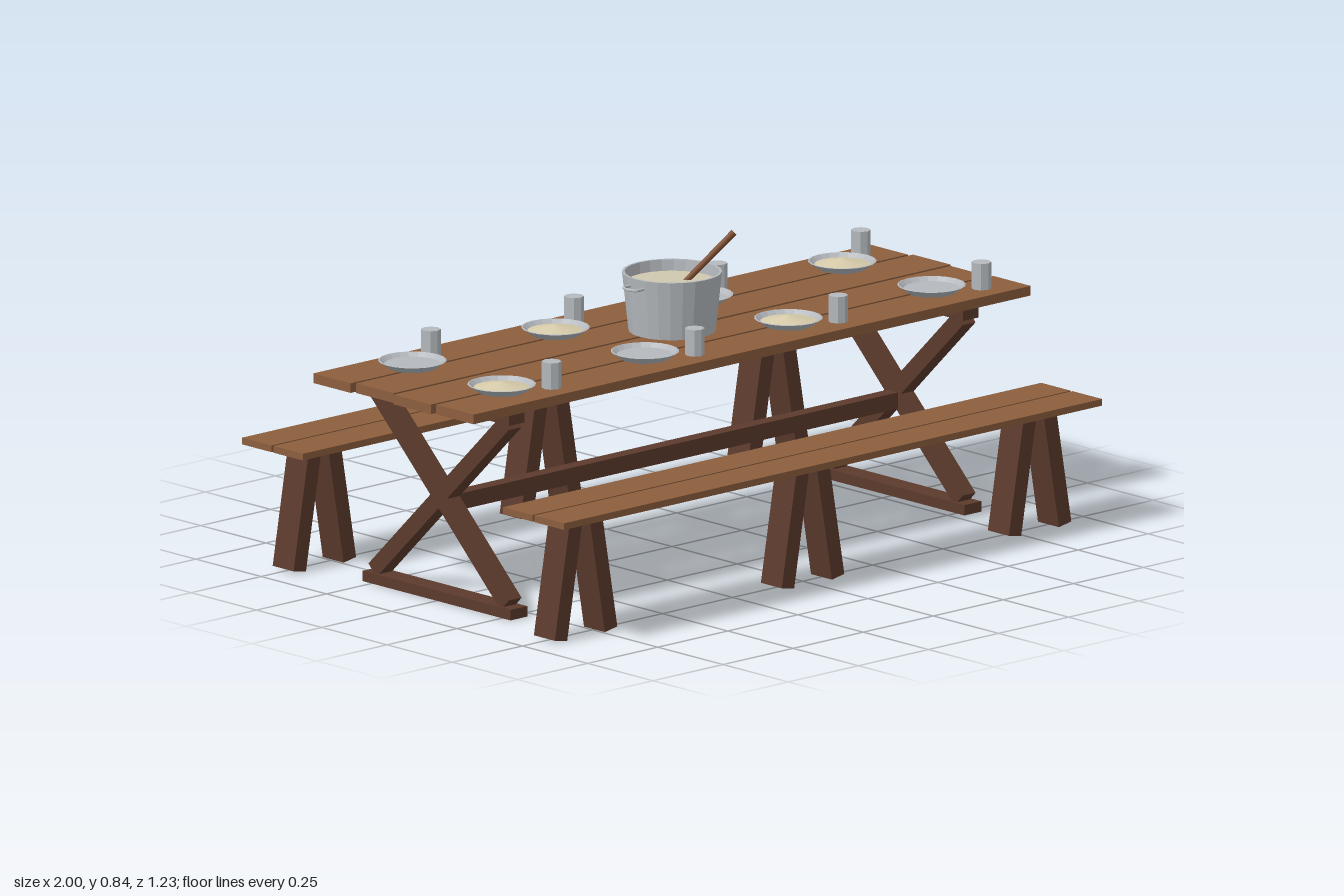
import * as THREE from 'three';

const mat = (name, color, extra = {}) => {
  const m = new THREE.MeshStandardMaterial({ color, ...extra });
  m.name = name;
  return m;
};

export function createModel() {
  const plankWood = mat('plank wood', 0x8b5e3e);
  const legWood = mat('dark leg wood', 0x5c3a2c);
  const spoonWood = mat('spoon wood', 0x7c4b2c);
  const metal = mat('grey metal', 0xb5b9bd, { flatShading: true });
  const stewColor = mat('stew', 0xcfc8b0);
  const foodColor = mat('food', 0xd6cbaa);

  const model = new THREE.Group();
  model.name = 'picnicTable';

  const add = (parent, name, geometry, material, x = 0, y = 0, z = 0) => {
    const mesh = new THREE.Mesh(geometry, material);
    mesh.name = name;
    mesh.position.set(x, y, z);
    parent.add(mesh);
    return mesh;
  };
  const group = (name, x = 0, y = 0, z = 0) => {
    const g = new THREE.Group();
    g.name = name;
    g.position.set(x, y, z);
    model.add(g);
    return g;
  };
  const box = (w, h, d) => new THREE.BoxGeometry(w, h, d);
  // Round bar between two points
  const rod = (parent, name, a, b, r0, r1, material) => {
    const dir = b.clone().sub(a);
    const mesh = add(parent, name, new THREE.CylinderGeometry(r1, r0, dir.length(), 8), material);
    mesh.position.copy(a).add(b).multiplyScalar(0.5);
    mesh.quaternion.setFromUnitVectors(new THREE.Vector3(0, 1, 0), dir.normalize());
    return mesh;
  };

  // Table top: four slightly staggered planks
  const topY = 0.585;
  const table = group('table');
  [-0.23, -0.077, 0.077, 0.23].forEach((z, i) => {
    add(table, 'tablePlank', box(1.988, 0.026, 0.143), plankWood, i % 2 ? 0.005 : -0.005, topY - 0.013, z);
  });

  // Crossed trestles at both ends
  for (const x of [-0.81, 0.81]) {
    const trestle = group('trestle', x);
    add(trestle, 'topBeam', box(0.055, 0.036, 0.55), legWood, 0, 0.541, 0);
    add(trestle, 'footBeam', box(0.06, 0.028, 0.566), legWood, 0, 0.015, 0);
    for (const s of [-1, 1]) {
      const leg = add(trestle, 'crossLeg', box(0.046, 0.044, 0.705), legWood, 0, 0.28, 0);
      leg.rotation.x = s * 0.77;
    }
  }
  add(table, 'stretcher', box(1.62, 0.044, 0.04), legWood, 0, 0.26, 0);

  // Benches with three pairs of splayed legs
  for (const side of [-1, 1]) {
    const bench = group('bench', 0, 0, side * 0.5);
    for (const z of [-0.06, 0.06]) {
      add(bench, 'benchPlank', box(1.92, 0.018, 0.113), plankWood, 0, 0.337, z);
    }
    for (const x of [-0.81, 0, 0.81]) {
      for (const s of [-1, 1]) {
        const leg = add(bench, 'benchLeg', box(0.045, 0.332, 0.08), legWood, x + s * 0.061, 0.168, 0);
        leg.rotation.z = s * 0.172;
      }
    }
  }

  // Cooking pot
  const pot = group('pot', 0, topY, 0);
  const lathe = (pts, n) => new THREE.LatheGeometry(pts.map(([x, y]) => new THREE.Vector2(x, y)), n);
  add(pot, 'potBody', lathe([[0, 0], [0.114, 0], [0.131, 0.158], [0.124, 0.158], [0.109, 0.01], [0, 0.01]], 24), metal);
  const stew = add(pot, 'stewSurface', new THREE.CircleGeometry(0.121, 24), stewColor, 0, 0.128, 0);
  stew.rotation.x = -Math.PI / 2;
  const handlePath = new THREE.CatmullRomCurve3([
    [0.122, -0.025], [0.15, -0.024], [0.158, 0], [0.15, 0.024], [0.122, 0.025],
  ].map(([x, z]) => new THREE.Vector3(x, 0.135, z)));
  for (const turn of [0, Math.PI]) {
    const handle = add(pot, 'potHandle', new THREE.TubeGeometry(handlePath, 12, 0.004, 6), metal);
    handle.rotation.y = turn;
  }
  rod(pot, 'spoon', new THREE.Vector3(0.025, 0.1, -0.008), new THREE.Vector3(0.15, 0.25, 0.076), 0.008, 0.009, spoonWood);

  // Place settings: plate, cup, and food on alternate plates
  const plateShape = lathe([[0, 0], [0.062, 0], [0.09, 0.02], [0.086, 0.021], [0.074, 0.01], [0, 0.01]], 20);
  const cupShape = new THREE.CylinderGeometry(0.026, 0.026, 0.071, 8);
  const foodShape = new THREE.ConeGeometry(0.074, 0.016, 20);
  [-0.171, 0.171].forEach((z, row) => {
    [-0.767, -0.256, 0.256, 0.767].forEach((x, i) => {
      const setting = group('placeSetting', x, topY, z);
      add(setting, 'plate', plateShape, metal);
      add(setting, 'cup', cupShape, metal, 0.122, 0.0355, Math.sign(z) * 0.06);
      if ((i + row) % 2) add(setting, 'food', foodShape, foodColor, 0, 0.0185, 0);
    });
  });

  return model;
}
